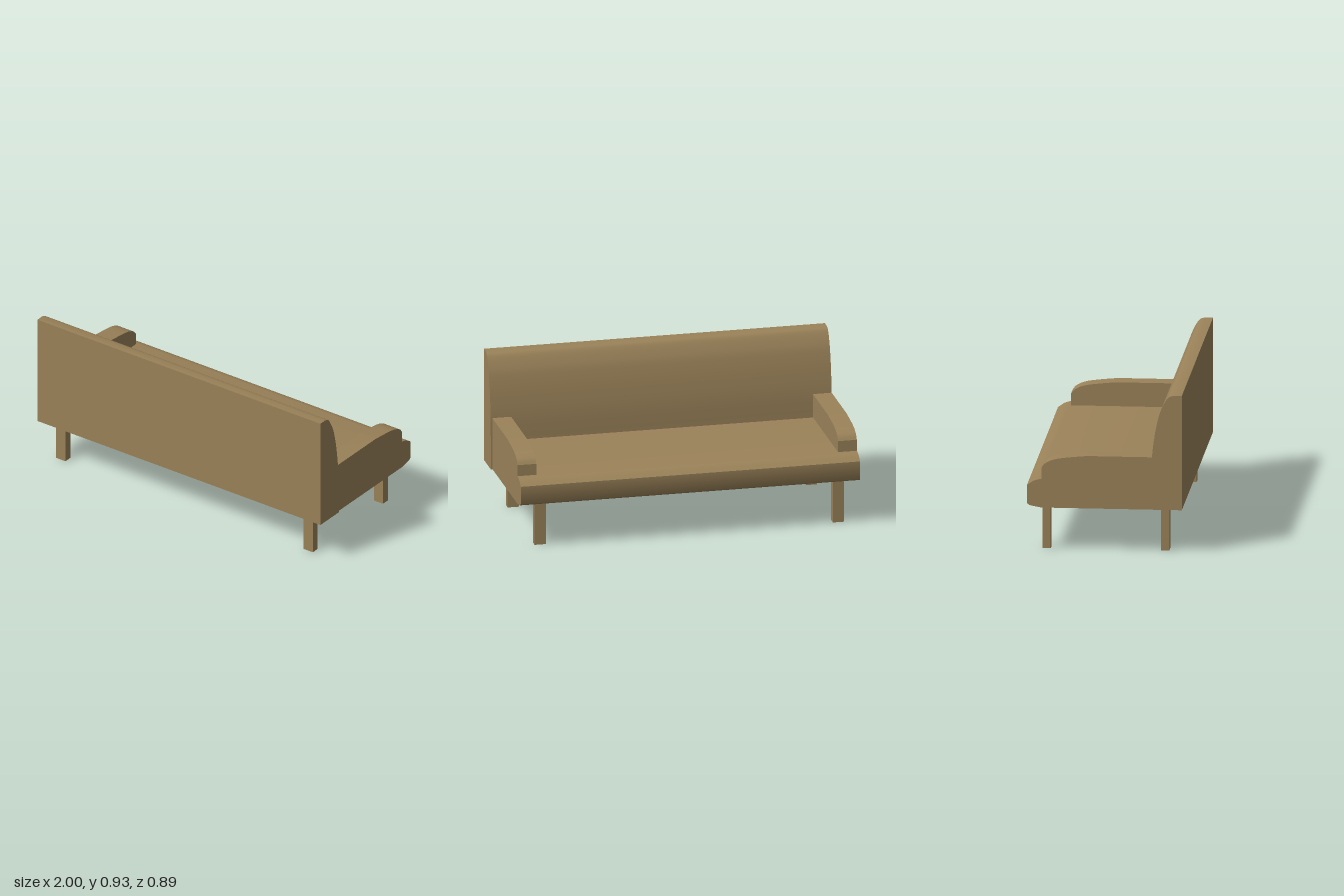
import * as THREE from 'three';
import { toCreasedNormals } from 'three/addons/utils/BufferGeometryUtils.js';

const upholstery = new THREE.MeshStandardMaterial({ color: 0x9a8259 });
upholstery.name = 'tan upholstery';

// Extrude a side profile of [z, y] points along x from x0 to x1.
// A nested list of points within the profile is a smooth curve.
function sideProfile(name, parts, x0, x1) {
  const shape = new THREE.Shape();
  parts.forEach((part, i) => {
    if (Array.isArray(part[0])) {
      shape.splineThru(part.map(([z, y]) => new THREE.Vector2(-z, y)));
    } else if (i === 0) {
      shape.moveTo(-part[0], part[1]);
    } else {
      shape.lineTo(-part[0], part[1]);
    }
  });
  const geometry = new THREE.ExtrudeGeometry(shape, {
    depth: x1 - x0, bevelEnabled: false, curveSegments: 5,
  });
  geometry.rotateY(Math.PI / 2);
  geometry.translate(x0, 0, 0);
  const mesh = new THREE.Mesh(toCreasedNormals(geometry, 0.5), upholstery);
  mesh.name = name;
  return mesh;
}

export function createModel() {
  const sofa = new THREE.Group();
  sofa.name = 'sofa';

  // Backrest: flat rear, curved front rolling over to a flat top
  sofa.add(sideProfile('backrest', [
    [0.445, 0.255], [0.266, 0.255],
    [[0.27, 0.4], [0.274, 0.56], [0.288, 0.68], [0.305, 0.77], [0.326, 0.84],
      [0.365, 0.91], [0.4, 0.925]],
    [0.445, 0.925],
  ], -1, 1));

  // Seat with a rounded front lip
  sofa.add(sideProfile('seat', [
    [0.27, 0.255], [0.272, 0.422], [-0.36, 0.422],
    [[-0.385, 0.418], [-0.41, 0.408], [-0.443, 0.385]],
    [-0.443, 0.285],
    [[-0.437, 0.274], [-0.42, 0.266], [-0.36, 0.255]],
  ], -1, 0.99));

  // Armrests resting on the seat, sloping down at the open end
  for (const [name, x0, x1] of [['rightArmrest', -1, -0.89], ['leftArmrest', 0.88, 0.99]]) {
    sofa.add(sideProfile(name, [
      [0.275, 0.422], [0.275, 0.562], [-0.1, 0.562],
      [[-0.2, 0.552], [-0.28, 0.54], [-0.335, 0.517], [-0.36, 0.488]],
      [-0.36, 0.422],
    ], x0, x1));
  }

  // Four straight legs
  const legGeometry = new THREE.BoxGeometry(0.065, 0.255, 0.047);
  for (const [xName, x] of [['Right', -0.892], ['Left', 0.857]]) {
    for (const [zName, z] of [['back', 0.343], ['front', -0.337]]) {
      const leg = new THREE.Mesh(legGeometry, upholstery);
      leg.name = `${zName}${xName}Leg`;
      leg.position.set(x, 0.1275, z);
      sofa.add(leg);
    }
  }
  return sofa;
}
